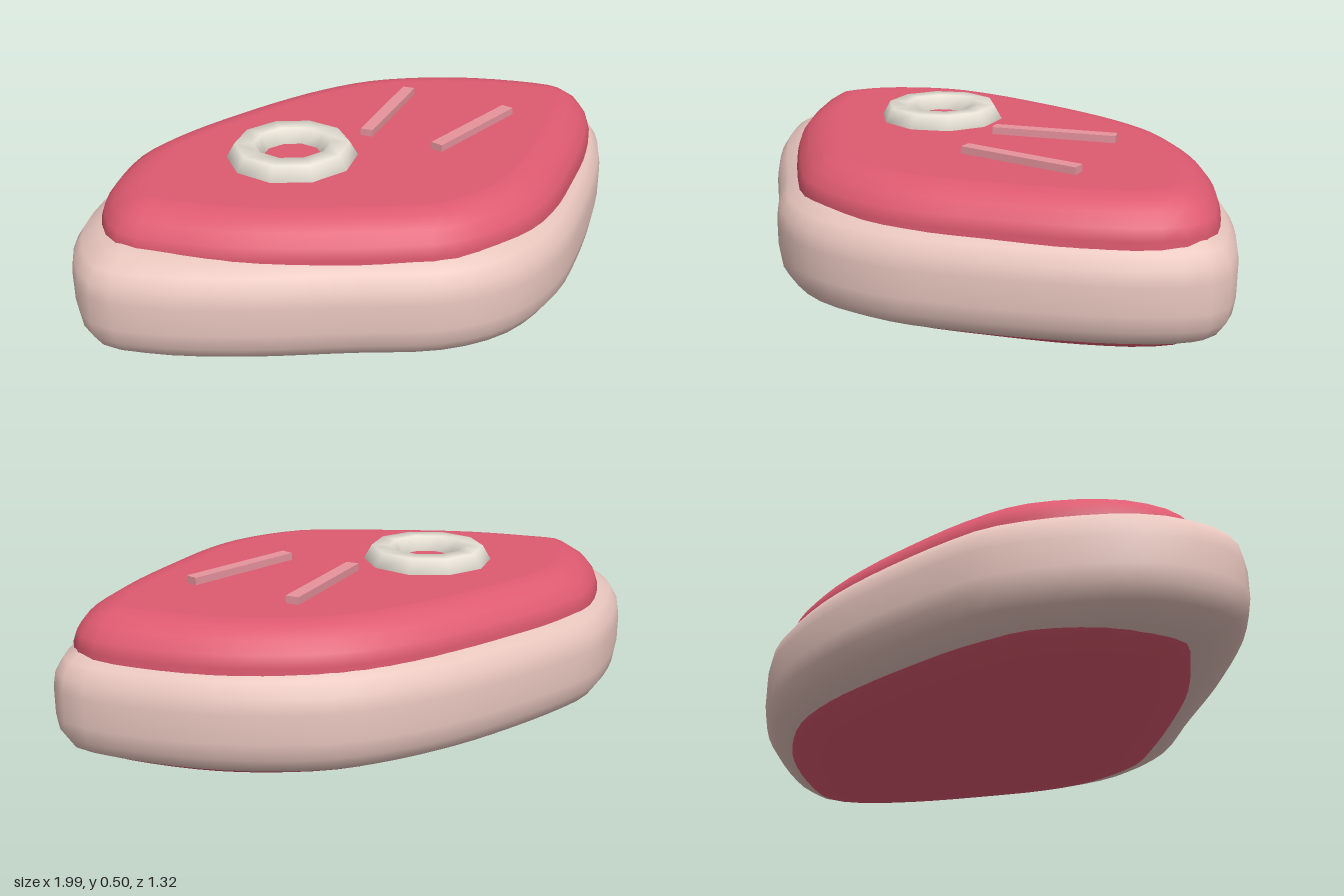
import * as THREE from 'three';

const material = (name, color) => {
  const m = new THREE.MeshStandardMaterial({ color });
  m.name = name;
  return m;
};

// Outlines as [x, z], running left, back, right, front
const FAT_OUTLINE = [
  [-1, -0.06], [-0.96, -0.24], [-0.85, -0.39], [-0.57, -0.585], [-0.4, -0.63], [0, -0.665],
  [0.24, -0.645], [0.44, -0.59], [0.7, -0.42], [0.885, -0.22], [0.98, -0.07], [0.995, 0.01],
  [0.95, 0.1], [0.83, 0.23], [0.67, 0.355], [0.44, 0.505], [0.24, 0.61], [0, 0.66],
  [-0.21, 0.61], [-0.45, 0.445], [-0.72, 0.255], [-0.91, 0.08],
];
const MEAT_OUTLINE = [
  [-0.88, -0.1], [-0.85, -0.24], [-0.77, -0.36], [-0.585, -0.505], [-0.4, -0.56], [-0.18, -0.587],
  [0, -0.597], [0.17, -0.592], [0.35, -0.56], [0.48, -0.505], [0.67, -0.375], [0.83, -0.2],
  [0.915, -0.06], [0.92, 0.03], [0.86, 0.135], [0.7, 0.275], [0.48, 0.415], [0.3, 0.515],
  [0.16, 0.565], [0, 0.58], [-0.16, 0.555], [-0.265, 0.495], [-0.45, 0.365], [-0.665, 0.19],
  [-0.8, 0.03],
];

// Rounded slab: stacks the outline at each [inset, y] of the profile and closes both ends
function slab(outline, profile, count = 64) {
  const curve = new THREE.CatmullRomCurve3(
    outline.map(([x, z]) => new THREE.Vector3(x, 0, z)), true, 'centripetal');
  const rings = [
    { inset: profile[0][0], y: profile[0][1], scale: 0 },
    { inset: profile[0][0], y: profile[0][1], scale: 0.96 },
    ...profile.map(([inset, y]) => ({ inset, y, scale: 1 })),
  ];
  const last = profile[profile.length - 1];
  rings.push({ inset: last[0], y: last[1], scale: 0.96 }, { inset: last[0], y: last[1], scale: 0 });

  const positions = [], index = [];
  rings.forEach(({ inset, y, scale }, j) => {
    for (let i = 0; i < count; i++) {
      const p = curve.getPointAt(i / count), t = curve.getTangentAt(i / count);
      positions.push((p.x - t.z * inset) * scale, y, (p.z + t.x * inset) * scale);
      if (j === rings.length - 1) continue;
      const a = j * count + i, b = j * count + (i + 1) % count;
      index.push(a, a + count, b, b, a + count, b + count);
    }
  });
  const geometry = new THREE.BufferGeometry();
  geometry.setAttribute('position', new THREE.Float32BufferAttribute(positions, 3));
  geometry.setIndex(index);
  geometry.computeVertexNormals();
  return geometry;
}

export function createModel() {
  const group = new THREE.Group();
  group.name = 'steak';
  const meatRed = material('meat red', 0xde5a70);
  const fatPink = material('fat pink', 0xe8c6be);
  const boneCream = material('bone cream', 0xf0eade);
  const marblingPink = material('marbling pink', 0xe8949e);

  const add = (name, geometry, mat) => {
    const mesh = new THREE.Mesh(geometry, mat);
    mesh.name = name;
    group.add(mesh);
    return mesh;
  };

  // Fat rim around the cut
  add('fatRim', slab(FAT_OUTLINE, [
    [0.14, 0.02], [0.09, 0.03], [0.035, 0.06], [0.008, 0.1], [0, 0.15],
    [0, 0.235], [0.008, 0.28], [0.035, 0.32], [0.09, 0.35], [0.14, 0.36],
  ]), fatPink);

  // Meat, showing above and just below the rim
  add('meat', slab(MEAT_OUTLINE, [
    [0.12, 0], [0.05, 0.02], [0.01, 0.06], [0, 0.11],
    [0, 0.35], [0.012, 0.385], [0.04, 0.42], [0.08, 0.445], [0.12, 0.455],
  ]), meatRed);

  // Bone ring
  const bone = add('boneRing', new THREE.TorusGeometry(0.15, 0.06, 6, 10), boneCream);
  bone.rotation.x = -Math.PI / 2;
  bone.position.set(-0.25, 0.448, -0.1);

  // Marbling streaks: x, z, turn in degrees
  [[0.2, -0.175, 30], [0.325, 0.11, 12]].forEach(([x, z, turn], i) => {
    const streak = add(`marblingStreak${i + 1}`, new THREE.BoxGeometry(0.4, 0.04, 0.042), marblingPink);
    streak.position.set(x, 0.458, z);
    streak.rotation.y = THREE.MathUtils.degToRad(turn);
  });

  return group;
}
